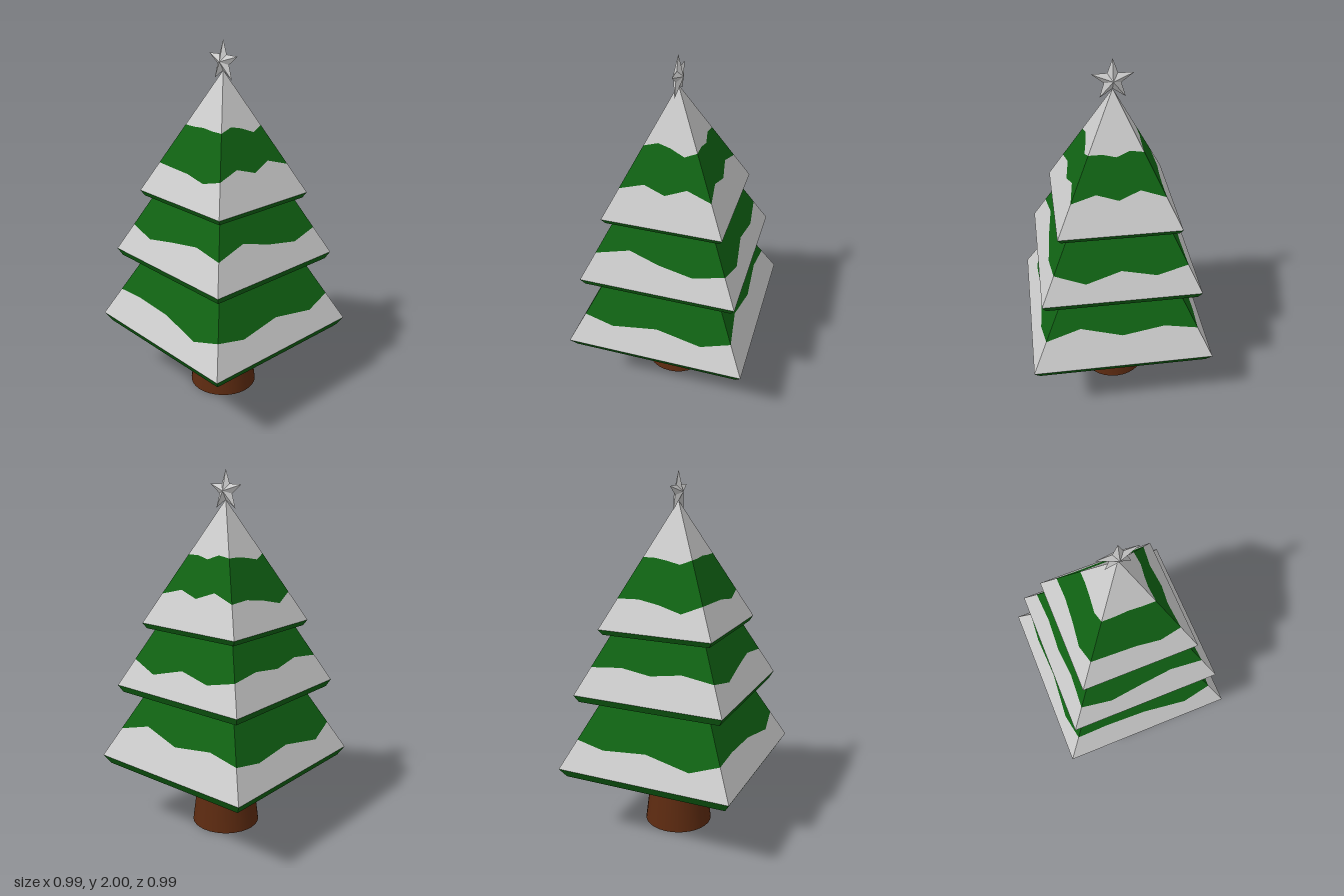
import * as THREE from 'three';

const GREEN = 0x106213, BROWN = 0x5c2a10, GREY = 0xcccccc;

// Each tier: base and rim [halfWidth, y], top [halfWidth, y], corner height of
// the snow edge, and three inner edge heights for front, +x, back and -x sides.
const TIERS = [
  {
    name: 'lowerTier', base: [0.465, 0.375], rim: [0.495, 0.425], top: [0.3, 0.82], spread: 0.58,
    corner: 0.583, edge: [[0.55, 0.58, 0.54], [0.633, 0.58, 0.61], [0.555, 0.575, 0.53], [0.59, 0.58, 0.535]],
  },
  {
    name: 'middleTier', base: [0.405, 0.8], rim: [0.425, 0.84], top: [0.26, 1.18], spread: 0.5,
    corner: 0.988, edge: [[1.03, 0.985, 0.955], [0.935, 0.985, 0.95], [1.005, 0.985, 1.01], [0.953, 0.985, 1.01]],
  },
  {
    name: 'upperTier', base: [0.305, 1.16], rim: [0.322, 1.19], top: [0, 1.845], spread: 0.5,
    corner: 1.35, edge: [[1.385, 1.35, 1.39], [1.383, 1.35, 1.39], [1.355, 1.337, 1.305], [1.345, 1.34, 1.32]],
    capCorner: 1.56, cap: [[1.58, 1.565, 1.535], [1.56, 1.545, 1.57], [1.56, 1.55, 1.535], [1.56, 1.565, 1.56]],
  },
];

function mesh(name, geometry, color, flatShading = true) {
  const m = new THREE.Mesh(geometry, new THREE.MeshStandardMaterial({ color, flatShading }));
  m.name = name;
  return m;
}

function fromPositions(positions) {
  const g = new THREE.BufferGeometry();
  g.setAttribute('position', new THREE.Float32BufferAttribute(positions, 3));
  g.computeVertexNormals();
  return g;
}

// Quad from corners a, b, c, d (counterclockwise seen from outside)
const quad = (out, a, b, c, d) => out.push(...a, ...b, ...c, ...a, ...c, ...d);

// Turn a point of the front side onto side k
function turn([u, y, h], k) {
  return [[u, y, h], [h, y, -u], [-u, y, -h], [-h, y, u]][k];
}

// A square tier with zigzag snow bands wrapped around its sloping sides
function makeTier(t) {
  const green = [], snow = [];
  const f = [-1, -t.spread, 0, t.spread, 1];
  const slope = (t.rim[0] - t.top[0]) / (t.top[1] - t.rim[1]);
  const halfAt = (y) => t.rim[0] - (y - t.rim[1]) * slope;
  for (let k = 0; k < 4; k++) {
    const level = ([h, y]) => f.map((s) => turn([s * h, y, h], k));
    const zigzag = (c, mid) => [c, ...mid, c].map((y, i) => turn([f[i] * halfAt(y), y, halfAt(y)], k));
    const band = (out, low, high) => {
      for (let i = 0; i < 4; i++) quad(out, low[i], low[i + 1], high[i + 1], high[i]);
    };
    const edge = zigzag(t.corner, t.edge[k]);
    band(green, level(t.base), level(t.rim));
    band(snow, level(t.rim), edge);
    if (t.cap) {
      const capEdge = zigzag(t.capCorner, t.cap[k]);
      band(green, edge, capEdge);
      band(snow, capEdge, level(t.top));
    } else {
      band(green, edge, level(t.top));
    }
  }
  // Underside
  const [b, y] = t.base;
  quad(green, [-b, y, -b], [b, y, -b], [b, y, b], [-b, y, b]);

  const group = new THREE.Group();
  group.name = t.name;
  group.add(mesh('branches', fromPositions(green), GREEN), mesh('snow', fromPositions(snow), GREY));
  return group;
}

// Faceted five-pointed star in the y-z plane, raised to a point on both faces
function makeStar(outer, inner, depth) {
  const p = [];
  const rim = (i) => {
    const a = (i * Math.PI) / 5, r = i % 2 ? inner : outer;
    return [0, r * Math.cos(a), r * Math.sin(a)];
  };
  for (let i = 0; i < 10; i++) {
    p.push(depth, 0, 0, ...rim(i), ...rim(i + 1));
    p.push(-depth, 0, 0, ...rim(i + 1), ...rim(i));
  }
  return fromPositions(p);
}

export function createModel() {
  const tree = new THREE.Group();
  tree.name = 'snowyTree';

  const trunk = mesh('trunk', new THREE.CylinderGeometry(0.143, 0.192, 0.4, 32), BROWN, false);
  trunk.position.y = 0.2;
  tree.add(trunk);

  for (const t of TIERS) tree.add(makeTier(t));

  const star = mesh('star', makeStar(0.111, 0.045, 0.027), GREY);
  star.position.y = 1.889;
  tree.add(star);

  return tree;
}
